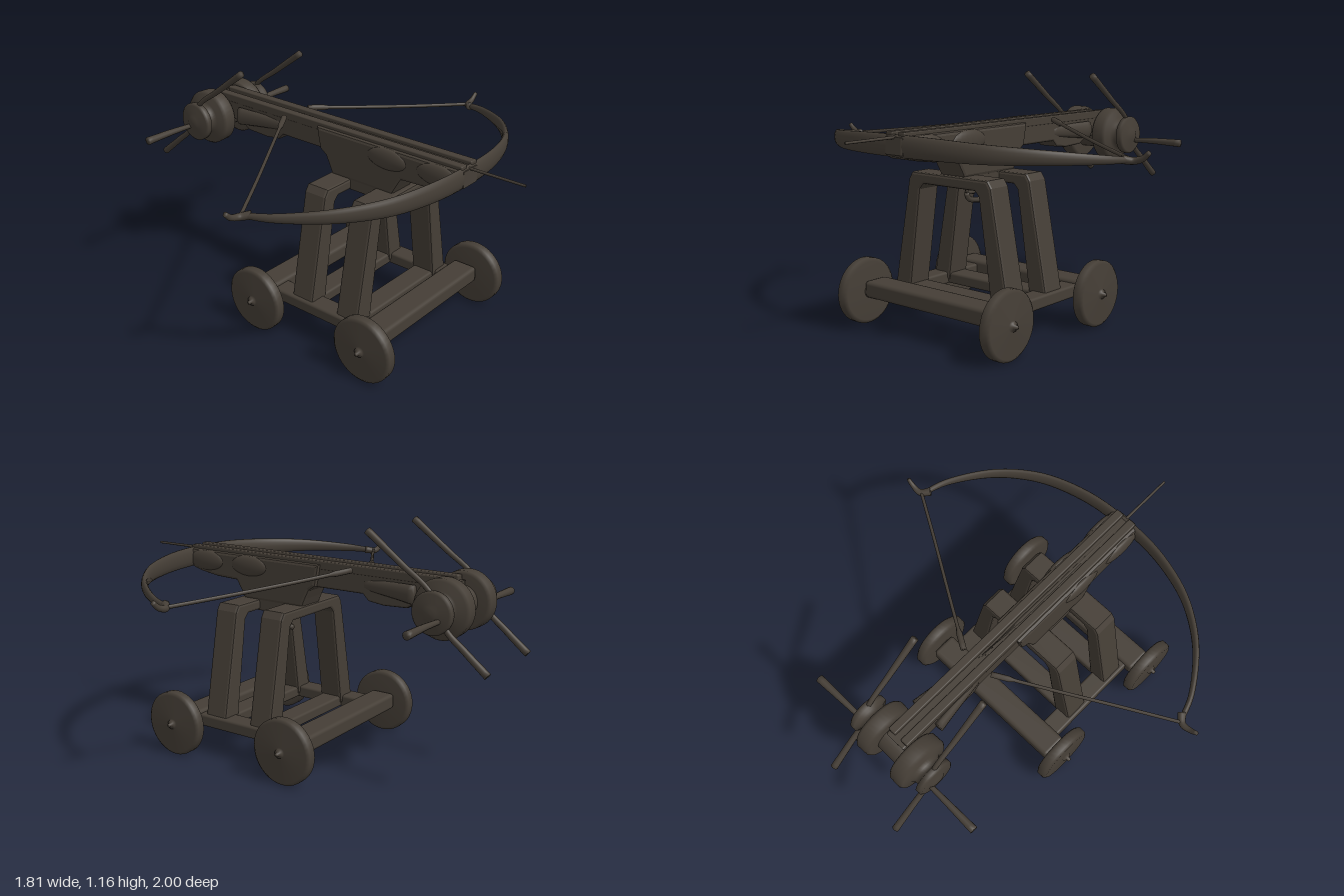
import * as THREE from 'three';
import { RoundedBoxGeometry } from 'three/addons/geometries/RoundedBoxGeometry.js';

const wood = new THREE.MeshStandardMaterial({ color: 0x453e36 });
wood.name = 'dark wood';

function add(parent, name, geometry, x = 0, y = 0, z = 0) {
  const mesh = new THREE.Mesh(geometry, wood);
  mesh.name = name;
  mesh.position.set(x, y, z);
  parent.add(mesh);
  return mesh;
}

const box = (w, h, d, r = 0.012) => new RoundedBoxGeometry(w, h, d, 2, r);

// Bevelled plate from an outline, centred on its thickness
function plate(points, depth, bevel = 0.01) {
  const shape = new THREE.Shape(points.map(p => new THREE.Vector2(...p)));
  const g = new THREE.ExtrudeGeometry(shape, {
    depth: depth - 2 * bevel, bevelEnabled: true, bevelSize: bevel,
    bevelThickness: bevel, bevelOffset: -bevel, bevelSegments: 2,
  });
  return g.translate(0, 0, -(depth - 2 * bevel) / 2);
}

// Plate whose outline is given as [z, y], with its thickness across x
const sidePlate = (points, width, bevel) => plate(points, width, bevel).rotateY(-Math.PI / 2);

// Turned part along x from [x, radius] steps
function turned(steps, segments = 40) {
  const pts = steps.map(([x, r]) => new THREE.Vector2(r, x));
  const g = new THREE.LatheGeometry(pts, segments);
  return g.rotateZ(-Math.PI / 2);
}

// Closed sweep along a path; radius(t) returns [sideways, vertical]
function sweep(points, radius, steps = 32, sides = 12, tension = 0.5) {
  const curve = new THREE.CatmullRomCurve3(points.map(p => new THREE.Vector3(...p)), false, 'catmullrom', tension);
  const pos = [], index = [];
  const ring = (t, scale) => {
    const c = curve.getPointAt(t), dir = curve.getTangentAt(t);
    const ref = Math.abs(dir.y) > 0.95 ? new THREE.Vector3(1, 0, 0) : new THREE.Vector3(0, 1, 0);
    const side = new THREE.Vector3().crossVectors(ref, dir).normalize();
    const up = new THREE.Vector3().crossVectors(dir, side);
    const [a, b] = radius(t);
    for (let j = 0; j < sides; j++) {
      const w = j / sides * Math.PI * 2;
      const p = c.clone().addScaledVector(side, Math.cos(w) * a * scale).addScaledVector(up, Math.sin(w) * b * scale);
      pos.push(p.x, p.y, p.z);
    }
  };
  ring(0, 0);
  for (let i = 0; i <= steps; i++) ring(i / steps, 1);
  ring(1, 0);
  for (let i = 0; i < steps + 2; i++) for (let j = 0; j < sides; j++) {
    const a = i * sides + j, b = i * sides + (j + 1) % sides;
    index.push(a, b, a + sides, b, b + sides, a + sides);
  }
  const g = new THREE.BufferGeometry();
  g.setAttribute('position', new THREE.Float32BufferAttribute(pos, 3));
  g.setIndex(index);
  g.computeVertexNormals();
  return g;
}

function buildCarriage(root) {
  const carriage = new THREE.Group();
  carriage.name = 'carriage';
  root.add(carriage);
  const wheel = [[-0.03, 0], [-0.03, 0.14], [-0.018, 0.157], [0.018, 0.157], [0.03, 0.142],
    [0.03, 0.025], [0.04, 0.022], [0.043, 0.011], [0.058, 0.009], [0.06, 0]];
  for (const [z, axleZ] of [[0.523, 0.5], [-0.125, -0.14]]) {
    add(carriage, 'axleBeam', box(0.8, 0.08, 0.13, 0.018), 0, 0.175, axleZ);
    for (const s of [-1, 1]) {
      add(carriage, 'wheel', turned(wheel), s * 0.435, 0.158, z).rotation.y = s > 0 ? 0 : Math.PI;
      add(carriage, 'axleEnd', turned([[-0.04, 0], [-0.04, 0.035], [0.04, 0.035], [0.04, 0]], 20), s * 0.39, 0.16, z);
    }
  }
  for (const s of [-1, 1]) add(carriage, 'sideRail', box(0.1, 0.06, 0.62), s * 0.312, 0.168, 0.18);

  // Two splayed trestle frames
  const frame = [[-0.352, 0.16], [-0.249, 0.7], [-0.228, 0.732], [0.228, 0.732], [0.249, 0.7], [0.352, 0.16],
    [0.25, 0.16], [0.178, 0.655], [0.155, 0.68], [-0.155, 0.68], [-0.178, 0.655], [-0.25, 0.16]];
  for (const z of [0.35, 0.083]) {
    add(carriage, 'trestleFrame', plate(frame.slice().reverse(), 0.124, 0.012), 0, 0, z);
    add(carriage, 'lowerCrossbar', box(0.54, 0.055, 0.11), 0, 0.168, z);
  }
}

function buildStock(root) {
  const stock = new THREE.Group();
  stock.name = 'stock';
  root.add(stock);
  // Full-length beam with its deeper rear grip
  add(stock, 'beam', sidePlate([[0.74, 0.935], [0.742, 0.86], [0.71, 0.84], [0, 0.83], [-0.29, 0.83], [-0.32, 0.8],
    [-0.4, 0.79], [-0.52, 0.795], [-0.57, 0.825], [-0.74, 0.83], [-0.75, 0.935]], 0.11));
  // Wide fore-end and pedestal resting on the frames
  add(stock, 'foreEnd', sidePlate([[0.725, 0.94], [0.725, 0.85], [0.66, 0.83], [0.56, 0.815], [0.43, 0.81], [0.4, 0.76],
    [0.38, 0.725], [0.035, 0.725], [0.015, 0.77], [-0.005, 0.81], [-0.04, 0.835], [-0.06, 0.94]], 0.15, 0.015));
  add(stock, 'pivotBlock', box(0.14, 0.08, 0.24), 0, 0.715, 0.215);
  for (const s of [-1, 1]) {
    add(stock, 'grooveRail', box(0.04, 0.04, 1.46, 0.006), s * 0.037, 0.937, 0);
    for (const z of [0.62, 0.35]) {
      add(stock, 'sideSwelling', new THREE.SphereGeometry(1, 20, 12).scale(0.022, 0.05, 0.11), s * 0.07, 0.89, z);
    }
    // Flared cheek ahead of the winch
    add(stock, 'cheek', sweep([[s * 0.045, 0.875, -0.3], [s * 0.06, 0.87, -0.46], [s * 0.072, 0.865, -0.565]],
      t => [0.012 + 0.01 * t, 0.025 + 0.02 * t], 12));
  }
  // Trigger lever and its catch
  add(stock, 'triggerHook', sweep([[0, 0.7, 0.22], [0, 0.672, 0.235], [0, 0.665, 0.27], [0, 0.645, 0.29], [0, 0.64, 0.24]],
    () => [0.01, 0.01], 20, 8));
  add(stock, 'triggerLever', sweep([[0, 0.64, 0.29], [0, 0.61, 0.27], [0, 0.598, 0.2], [0, 0.6, 0.14]],
    () => [0.012, 0.013], 20, 8));
  add(stock, 'bolt', sweep([[0, 0.935, -0.25], [0, 0.933, 1]], t => [0.011 - 0.005 * t, 0.011 - 0.005 * t], 4, 8));
}

function buildBow(root) {
  const bow = new THREE.Group();
  bow.name = 'bow';
  root.add(bow);
  const half = [[0.81, 0.853, 0.2], [0.765, 0.862, 0.32], [0.655, 0.874, 0.475], [0.53, 0.882, 0.585], [0.39, 0.888, 0.66], [0.2, 0.895, 0.71]];
  const path = [...half.map(([x, y, z]) => [-x, y, z]), [0, 0.897, 0.723], ...half.slice().reverse()];
  add(bow, 'bowLimbs', sweep(path, t => {
    const k = Math.sin(Math.PI * t);
    return [0.012 + 0.006 * k, 0.013 + 0.036 * k];
  }, 72, 14));
  for (const s of [-1, 1]) {
    add(bow, 'bowTip', sweep([[s * 0.79, 0.857, 0.225], [s * 0.825, 0.85, 0.19], [s * 0.868, 0.862, 0.187], [s * 0.9, 0.89, 0.188]],
      t => [0.02 - 0.011 * t, 0.019 - 0.008 * t], 16));
    add(bow, 'bowstring', sweep([[s * 0.825, 0.853, 0.195], [s * 0.58, 0.878, 0.05], [s * 0.35, 0.905, -0.09], [s * 0.085, 0.94, -0.25]],
      t => (t > 0.88 ? [0.014, 0.014] : [0.008, 0.009]), 32, 8));
  }
}

function buildWinch(root) {
  const winch = new THREE.Group();
  winch.name = 'winch';
  winch.position.set(0, 0.835, -0.73);
  root.add(winch);
  add(winch, 'winchAxle', turned([[-0.16, 0], [-0.16, 0.075], [0.16, 0.075], [0.16, 0]]));
  // Drum, neck and end disc
  const drum = [[0.06, 0], [0.062, 0.12], [0.075, 0.133], [0.13, 0.135], [0.145, 0.124], [0.15, 0.085],
    [0.165, 0.07], [0.185, 0.07], [0.194, 0.095], [0.216, 0.095], [0.225, 0.085], [0.226, 0.045], [0.235, 0.03], [0.236, 0]];
  const grip = t => { const r = 0.011 + 0.006 * Math.abs(2 * t - 1); return [r, r]; };
  for (const s of [-1, 1]) {
    add(winch, 'winchDrum', turned(drum)).rotation.y = s > 0 ? 0 : Math.PI;
    add(winch, 'crankBar', sweep([[s * 0.203, 0.315, 0.325], [s * 0.203, 0.19, 0.155], [s * 0.203, 0.085, 0.015],
      [s * 0.203, -0.06, -0.06], [s * 0.203, -0.14, -0.15], [s * 0.203, -0.23, -0.26]], grip, 40));
    add(winch, 'crankHandle', sweep([[s * 0.2, -0.03, -0.035], [s * 0.34, -0.026, -0.037], [s * 0.49, -0.027, -0.04]],
      t => [0.011 + 0.008 * t, 0.011 + 0.008 * t], 12));
  }
}

export function createModel() {
  const model = new THREE.Group();
  model.name = 'siegeCrossbow';
  buildCarriage(model);
  buildStock(model);
  buildBow(model);
  buildWinch(model);
  return model;
}
